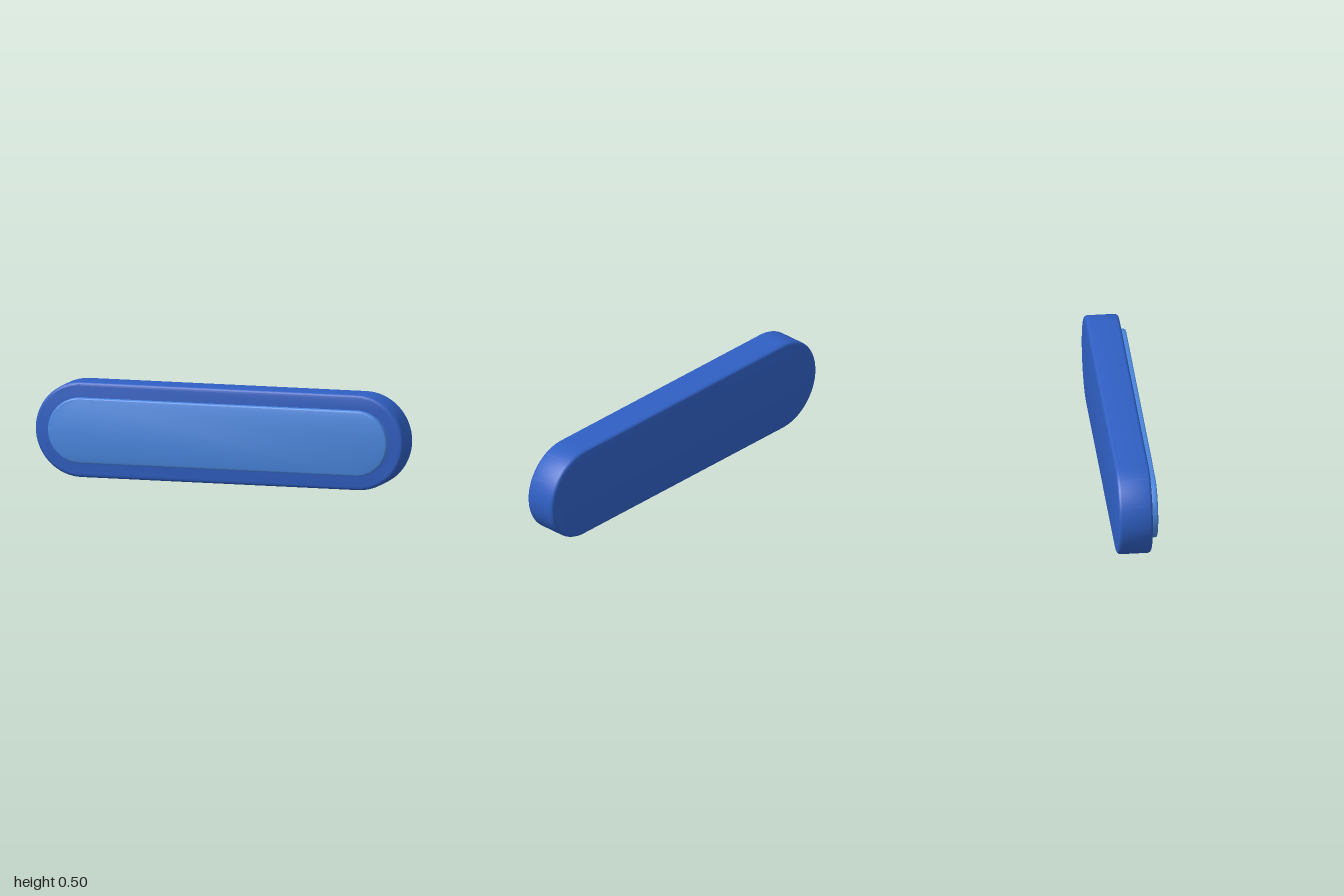
import * as THREE from 'three';
import { toCreasedNormals } from 'three/addons/utils/BufferGeometryUtils.js';

// Pill-shaped slab with rounded edges, spanning zBack to zFront
function pillSlab(name, halfLength, radius, zBack, zFront, bevel, material) {
  const c = halfLength - radius;
  const r = radius - bevel;
  const shape = new THREE.Shape();
  shape.absarc(c, 0, r, -Math.PI / 2, Math.PI / 2, false);
  shape.absarc(-c, 0, r, Math.PI / 2, Math.PI * 1.5, false);
  const geometry = new THREE.ExtrudeGeometry(shape, {
    depth: zFront - zBack - 2 * bevel,
    curveSegments: 32,
    bevelEnabled: true,
    bevelSize: bevel,
    bevelThickness: bevel,
    bevelSegments: 5,
  });
  geometry.translate(0, 0.25, zBack + bevel);
  const mesh = new THREE.Mesh(toCreasedNormals(geometry, 0.6), material);
  mesh.name = name;
  return mesh;
}

export function createModel() {
  const darkBlue = new THREE.MeshStandardMaterial({ color: 0x3060c4 });
  darkBlue.name = 'dark blue';
  const lightBlue = new THREE.MeshStandardMaterial({ color: 0x4c8ae4 });
  lightBlue.name = 'light blue';

  const group = new THREE.Group();
  group.name = 'pillButton';
  // Base body and the raised face in front of it
  group.add(pillSlab('base', 1, 0.25, -0.106, 0.071, 0.018, darkBlue));
  group.add(pillSlab('raisedFace', 0.921, 0.171, 0.04, 0.106, 0.009, lightBlue));
  return group;
}
